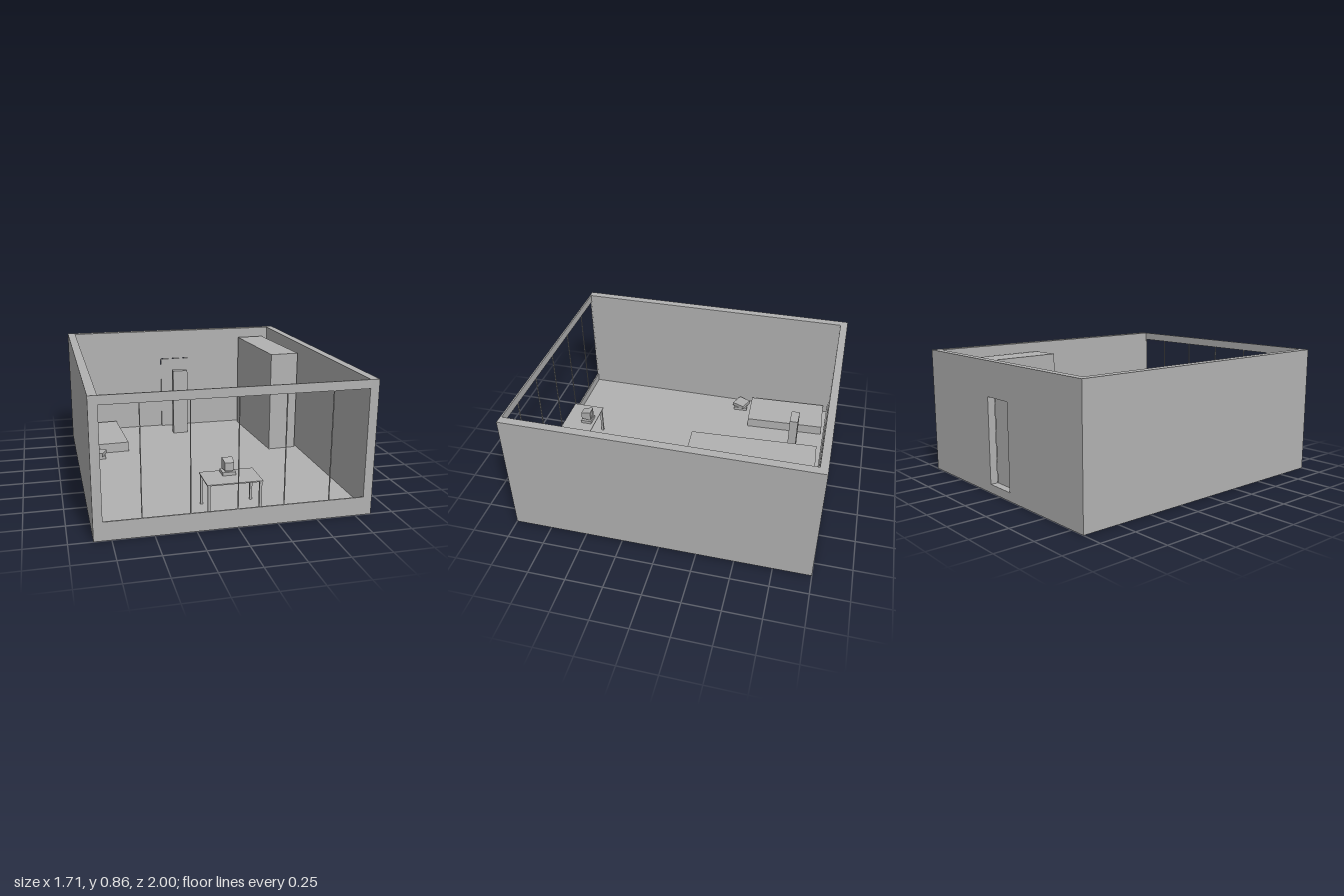
import * as THREE from 'three';

export function createModel() {
  const model = new THREE.Group();
  model.name = 'room';
  const grey = new THREE.MeshStandardMaterial({ color: 0xb2b2b2 });
  grey.name = 'plainGrey';
  const FLOOR = 0.057;

  function add(name, geometry, parent = model) {
    const mesh = new THREE.Mesh(geometry, grey);
    mesh.name = name;
    parent.add(mesh);
    return mesh;
  }

  // Box given by its limits on each axis
  function block(name, x0, x1, y0, y1, z0, z1, parent = model) {
    const mesh = add(name, new THREE.BoxGeometry(x1 - x0, y1 - y0, z1 - z0), parent);
    mesh.position.set((x0 + x1) / 2, (y0 + y1) / 2, (z0 + z1) / 2);
    return mesh;
  }

  // Box standing on y0 and turned about the vertical
  function turned(name, x, z, w, d, y0, y1, angle) {
    const mesh = block(name, x - w / 2, x + w / 2, y0, y1, z - d / 2, z + d / 2);
    mesh.rotation.y = angle;
    return mesh;
  }

  // Upright panel with a rectangular opening
  function panelWithOpening(name, [x0, x1, y0, y1], [a0, a1, b0, b1], z, depth, parent = model) {
    const corners = (l, r, b, t) => [[l, b], [r, b], [r, t], [l, t]].map(p => new THREE.Vector2(...p));
    const shape = new THREE.Shape(corners(x0, x1, y0, y1));
    shape.holes.push(new THREE.Path(corners(a0, a1, b0, b1).reverse()));
    const mesh = add(name, new THREE.ExtrudeGeometry(shape, { depth, bevelEnabled: false }), parent);
    mesh.position.z = z;
    return mesh;
  }

  // Shell of the room
  block('floor', -0.8, 0.8, 0, FLOOR, -0.95, 0.99);
  block('rightWall', -0.855, -0.8, 0, 0.86, -1, 1);
  block('leftWall', 0.8, 0.855, 0, 0.86, -1, 1);
  panelWithOpening('backWall', [-0.8, 0.8, 0, 0.86], [-0.113, 0.113, FLOOR, 0.63], -1, 0.05);
  block('door', -0.113, 0.113, FLOOR, 0.63, -0.947, -0.937);

  // Window front with slim mullions
  panelWithOpening('windowFrame', [-0.8, 0.8, 0, 0.86], [-0.799, 0.799, 0.117, 0.805], 0.99, 0.01);
  for (const x of [-0.573, -0.286, 0, 0.286, 0.573]) {
    block('mullion', x - 0.003, x + 0.003, 0.117, 0.805, 0.992, 0.998);
  }

  // Large furniture
  turned('lowPlatform', -0.627, -0.631, 0.283, 0.567, FLOOR, 0.127, 0.047);
  turned('tallCupboard', 0.661, -0.539, 0.208, 0.756, FLOOR, 0.79, 0.05);
  block('pillar', -0.055, 0.06, FLOOR, 0.575, -0.765, -0.71);

  // Small stack beside the platform
  turned('stackBottom', -0.71, -0.26, 0.1, 0.1, FLOOR, 0.08, 0.05);
  turned('stackTop', -0.71, -0.262, 0.1, 0.095, 0.08, 0.105, -0.42);

  // Table
  const table = new THREE.Group();
  table.name = 'table';
  model.add(table);
  block('tableTop', -0.175, 0.17, 0.254, 0.261, 0.72, 0.945, table);
  for (const x of [-0.162, 0.157]) {
    for (const z of [0.734, 0.931]) {
      block('tableLeg', x - 0.008, x + 0.008, FLOOR, 0.254, z - 0.008, z + 0.008, table);
    }
  }

  // Desktop computer with its screen towards the back wall
  const computer = new THREE.Group();
  computer.name = 'computer';
  model.add(computer);
  block('computerBase', -0.048, 0.036, 0.261, 0.282, 0.742, 0.818, computer);
  block('monitorFoot', -0.028, 0.016, 0.282, 0.292, 0.76, 0.805, computer);
  panelWithOpening('monitorFrame', [-0.038, 0.028, 0.29, 0.356], [-0.031, 0.021, 0.298, 0.348], 0.746, 0.015, computer);
  block('screen', -0.031, 0.021, 0.298, 0.348, 0.753, 0.76, computer);
  const housing = new THREE.BoxGeometry(0.066, 0.066, 0.055);
  const p = housing.attributes.position;
  for (let i = 0; i < p.count; i++) {
    if (p.getZ(i) > 0) p.setXY(i, p.getX(i) * 0.85, p.getY(i) * 0.75 - 0.006);
  }
  const flatHousing = housing.toNonIndexed();
  flatHousing.computeVertexNormals();
  add('monitorHousing', flatHousing, computer).position.set(-0.005, 0.323, 0.7885);

  return model;
}
